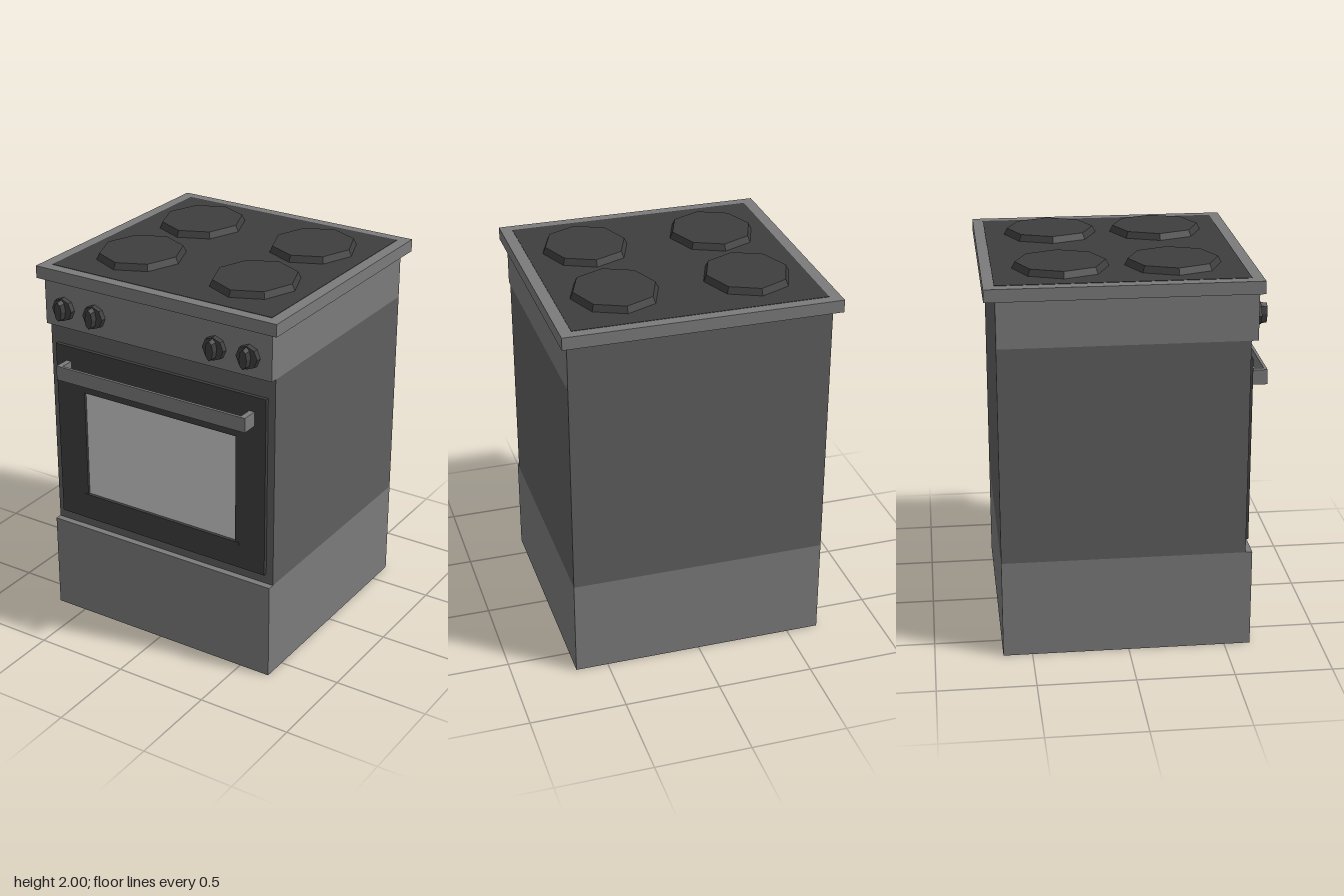
import * as THREE from 'three';

const paint = (color) => new THREE.MeshStandardMaterial({ color, flatShading: true });

export function createModel() {
  const stove = new THREE.Group();
  const light = paint(0x7b7b7b), mid = paint(0x5e5e5e), dark = paint(0x3e3e3e), glass = paint(0xcccccc);

  const add = (name, geometry, material, x = 0, y = 0, z = 0, parent = stove) => {
    const mesh = new THREE.Mesh(geometry, material);
    mesh.name = name;
    mesh.position.set(x, y, z);
    parent.add(mesh);
    return mesh;
  };
  // Box given by its limits on each axis
  const box = (name, material, [x0, x1], [y0, y1], [z0, z1], parent) =>
    add(name, new THREE.BoxGeometry(x1 - x0, y1 - y0, z1 - z0), material,
      (x0 + x1) / 2, (y0 + y1) / 2, (z0 + z1) / 2, parent);

  // Cabinet, from the base up
  const wide = [-0.67, 0.67];
  box('baseDrawer', light, wide, [0, 0.52], [-0.65, 0.635]);
  box('ovenBody', mid, wide, [0.52, 1.655], [-0.65, 0.6]);
  box('controlPanel', light, wide, [1.655, 1.9], [-0.645, 0.635]);
  box('backPlate', mid, wide, [1.655, 1.9], [-0.65, -0.645]);
  box('topSlab', light, [-0.705, 0.705], [1.9, 1.965], [-0.705, 0.657]);
  box('hobSurface', dark, [-0.645, 0.645], [1.955, 1.967], [-0.65, 0.6]);

  // Four bevelled eight-sided hotplates
  const plate = new THREE.CylinderGeometry(0.93, 1, 0.035, 8);
  for (const x of [-0.34, 0.34]) for (const z of [-0.307, 0.255]) {
    add('hotplate', plate, dark, x, 1.9825, z).scale.set(0.225, 1, 0.244);
  }

  // Oven door: frame with a window opening, recessed glass and a sill
  const rect = (path, x, y0, y1) =>
    path.moveTo(-x, y0).lineTo(x, y0).lineTo(x, y1).lineTo(-x, y1).closePath();
  const frame = rect(new THREE.Shape(), 0.63, 0.575, 1.547);
  frame.holes.push(rect(new THREE.Path(), 0.458, 0.72, 1.308));
  add('ovenDoor', new THREE.ExtrudeGeometry(frame, { depth: 0.02, bevelEnabled: false }), dark, 0, 0, 0.6);
  box('ovenWindow', glass, [-0.458, 0.458], [0.72, 1.308], [0.595, 0.607]);
  box('windowSill', dark, [-0.48, 0.48], [0.702, 0.72], [0.61, 0.624]);

  // Handle: flat bar on two end posts
  const handle = new THREE.Group();
  handle.name = 'doorHandle';
  stove.add(handle);
  box('handleBar', light, [-0.565, 0.565], [1.39, 1.467], [0.691, 0.706], handle);
  for (const s of [-1, 1]) {
    box('handlePost', light, [s * 0.55 - 0.015, s * 0.55 + 0.015], [1.39, 1.467], [0.62, 0.691], handle);
  }

  // Control knobs: octagonal base with a narrow upright grip
  const base = new THREE.CylinderGeometry(0.06, 0.062, 0.026, 8).rotateX(Math.PI / 2);
  const grip = new THREE.CylinderGeometry(0.92, 1, 0.033, 8).rotateX(Math.PI / 2).scale(0.024, 0.055, 1);
  for (const x of [-0.55, -0.36, 0.353, 0.543]) {
    const knob = new THREE.Group();
    knob.name = 'knob';
    knob.position.set(x, 1.76, 0.635);
    stove.add(knob);
    add('knobBase', base, dark, 0, 0, 0.013, knob);
    add('knobGrip', grip, dark, 0, 0, 0.0425, knob);
  }
  return stove;
}
